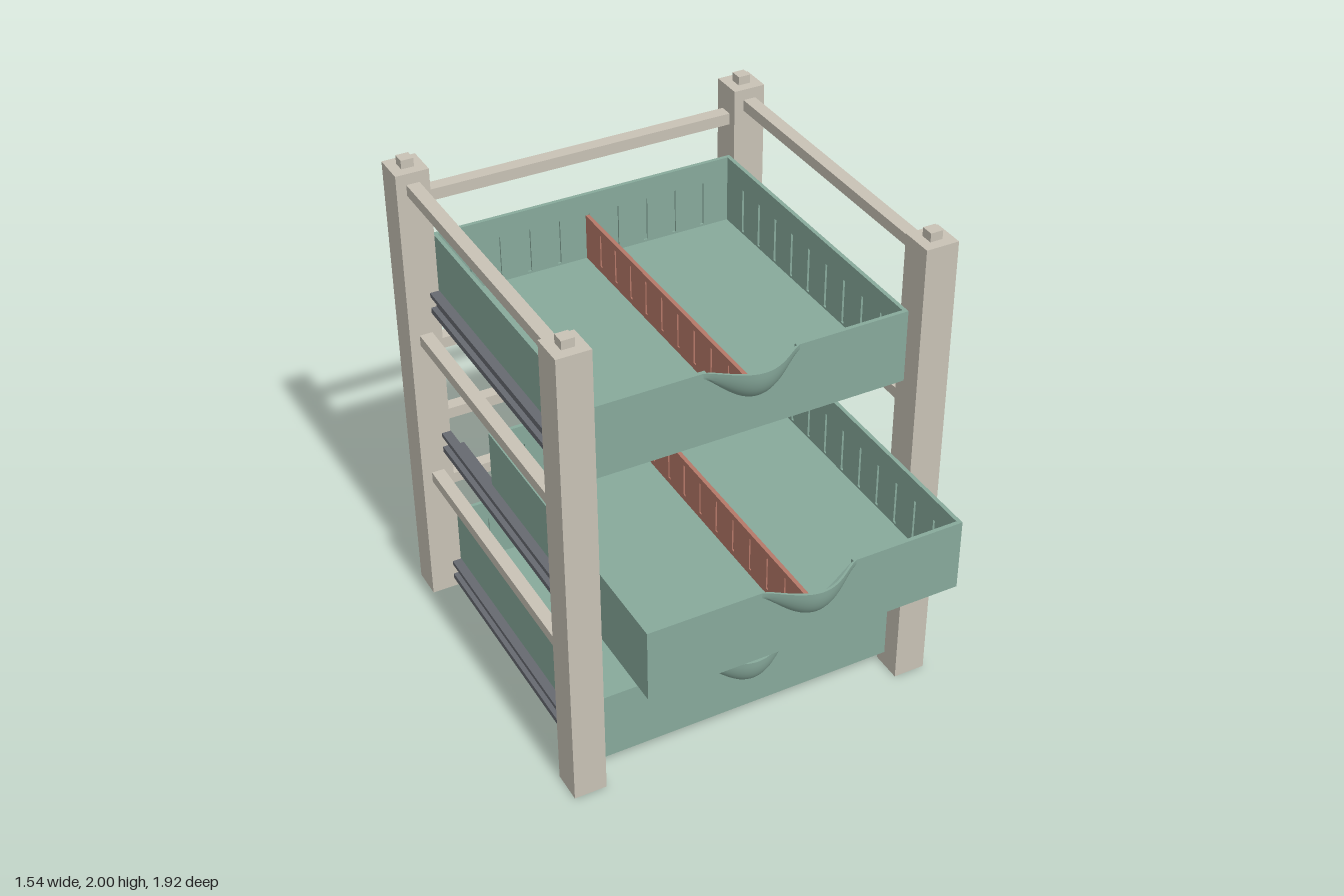
import * as THREE from 'three';
import { toCreasedNormals } from 'three/addons/utils/BufferGeometryUtils.js';

const mat = (name, color) => Object.assign(new THREE.MeshStandardMaterial({ color }), { name });

// Drawer dimensions
const W = 1.27, H = 0.297, D = 1.3, T = 0.016;
const SCOOP = 0.19;
const swell = x => Math.pow(Math.max(0, Math.cos((Math.PI / 2) * x / SCOOP)), 1.2);
const scoopDepth = x => 0.022 + 0.118 * swell(x);

function add(parent, name, geometry, material, x = 0, y = 0, z = 0) {
  const mesh = new THREE.Mesh(geometry, material);
  mesh.name = name;
  mesh.position.set(x, y, z);
  parent.add(mesh);
  return mesh;
}

const box = (parent, name, material, w, h, d, x, y, z) =>
  add(parent, name, new THREE.BoxGeometry(w, h, d), material, x, y, z);

const extrude = (shape, depth) => new THREE.ExtrudeGeometry(shape, { depth, bevelEnabled: false });

function rectPath(path, x0, y0, x1, y1) {
  path.moveTo(x0, y0);
  path.lineTo(x1, y0);
  path.lineTo(x1, y1);
  path.lineTo(x0, y1);
  path.closePath();
  return path;
}

// Upright panel outline, optionally with the scoop cut from its top edge
function panelShape(w, h, scoop) {
  const s = new THREE.Shape();
  s.moveTo(-w / 2, 0);
  s.lineTo(w / 2, 0);
  s.lineTo(w / 2, h);
  if (scoop) {
    const r = SCOOP - 0.012;
    for (let i = 0; i <= 20; i++) {
      const x = r - (2 * r * i) / 20;
      if (i === 0) s.lineTo(x, h);
      s.lineTo(x, h - scoopDepth(x) + 0.01);
      if (i === 20) s.lineTo(x, h);
    }
  }
  s.lineTo(-w / 2, h);
  s.closePath();
  return s;
}

// The same outline pierced by evenly spaced divider slots
function slottedShape(w, h, scoop, top) {
  const s = panelShape(w, h, scoop);
  const n = Math.floor((w / 2 - 0.05) / 0.126);
  for (let i = -n; i <= n; i++) {
    const x = i * 0.126;
    if (scoop && Math.abs(x) < 0.22) continue;
    s.holes.push(rectPath(new THREE.Path(), x - 0.008, 0.025, x + 0.008, top));
  }
  return s;
}

// Drawer wall: solid outer skin (+z) and slotted inner skin
function wall(parent, name, material, w, scoop, x, z, turn) {
  const g = new THREE.Group();
  g.name = name;
  add(g, name + 'Outer', extrude(panelShape(w, H, scoop), T / 2), material, 0, 0, -T / 2);
  add(g, name + 'Inner', extrude(slottedShape(w, H, scoop, 0.21), T / 2), material, 0, 0, -T);
  g.position.set(x, 0, z);
  g.rotation.y = turn;
  parent.add(g);
}

// Hollow scoop pull: inner surface, rim, then outer surface
function scoopGeometry() {
  const rows = 10;
  const geo = new THREE.PlaneGeometry(1, 1, 32, rows * 2 + 1);
  const p = geo.attributes.position;
  for (let i = 0; i < p.count; i++) {
    const row = Math.floor(i / 33);
    const inner = row <= rows;
    const a = (Math.PI / 2) * (inner ? 1 - row / rows : (row - rows - 1) / rows);
    const x = p.getX(i) * 2 * (inner ? SCOOP - 0.012 : SCOOP);
    const cut = inner ? 0.01 : 0;
    const bulge = Math.max(0, 0.095 * swell(x) - cut);
    p.setXYZ(i, x, -(scoopDepth(x) - cut) * Math.sin(a), bulge * Math.cos(a));
  }
  return toCreasedNormals(geo, 0.7);
}

function makeDrawer(green, brown) {
  const g = new THREE.Group();
  box(g, 'drawerFloor', green, W - T, T, D - T, 0, T / 2, 0);
  wall(g, 'frontWall', green, W, true, 0, D / 2, 0);
  wall(g, 'backWall', green, W, false, 0, -D / 2, Math.PI);
  for (const s of [-1, 1]) wall(g, 'sideWall', green, D - 2 * T, false, s * W / 2, 0, s * Math.PI / 2);
  add(g, 'scoopPull', scoopGeometry(), green, 0, H, D / 2);

  // Divider: thin core with slotted skins on both faces
  const len = D - 2 * T, h = 0.19;
  const divider = new THREE.Group();
  divider.name = 'divider';
  add(divider, 'dividerCore', extrude(panelShape(len, h), 0.006), brown, 0, 0, -0.003);
  for (const z of [-0.008, 0.003]) add(divider, 'dividerSkin', extrude(slottedShape(len, h, false, 0.165), 0.005), brown, 0, 0, z);
  divider.rotation.y = Math.PI / 2;
  divider.position.y = T;
  g.add(divider);
  return g;
}

// Square post with a top peg and a matching socket underneath
function makePost(wood) {
  const g = new THREE.Group();
  g.name = 'post';
  const a = 0.066, b = 0.026, socket = 0.04;
  const ring = rectPath(new THREE.Shape(), -a, -a, a, a);
  ring.holes.push(rectPath(new THREE.Path(), -b, -b, b, b));
  add(g, 'postFoot', extrude(ring, socket), wood).rotation.x = -Math.PI / 2;
  box(g, 'postShaft', wood, 2 * a, 1.965 - socket, 2 * a, 0, (1.965 + socket) / 2, 0);
  box(g, 'postPeg', wood, 0.05, 0.035, 0.05, 0, 1.9825, 0);
  return g;
}

// Channel runner with a foot reaching under the drawer; s is the side
function makeRunner(steel, s, len, stem) {
  const g = new THREE.Group();
  g.name = 'runner';
  box(g, 'runnerWeb', steel, 0.016, 0.09, len, s * 0.645, 0.045, 0);
  box(g, 'runnerTopLip', steel, 0.036, 0.018, len, s * 0.657, 0.081, 0);
  box(g, 'runnerBottomLip', steel, 0.036, 0.024, len, s * 0.657, 0.012, 0);
  box(g, 'runnerFoot', steel, 0.055, 0.016, len, s * 0.6125, 0.008, 0);
  if (stem) box(g, 'runnerStem', steel, 0.016, 0.014, len, s * 0.603, 0.023, 0);
  return g;
}

export function createModel() {
  const wood = mat('paleWood', 0xc8c2b5);
  const green = mat('sageGreen', 0x87a99b);
  const steel = mat('darkSteel', 0x666970);
  const brown = mat('redBrown', 0xb57868);
  const model = new THREE.Group();
  model.name = 'drawerRack';

  const px = 0.705, zFront = 0.457, zBack = -0.89;
  const zMid = (zFront + zBack) / 2, span = zFront - zBack - 0.13;

  // Corner posts
  for (const x of [-px, px]) {
    for (const z of [zFront, zBack]) {
      const post = makePost(wood);
      post.position.set(x, 0, z);
      model.add(post);
    }
  }

  // Three tiers; the middle drawer is pulled out
  for (let i = 0; i < 3; i++) {
    const y = i * 0.655;
    const drawer = makeDrawer(green, brown);
    drawer.name = 'drawer';
    drawer.position.set(0, y + 0.07, i === 1 ? 0.22 : -0.205);
    model.add(drawer);

    for (const s of [-1, 1]) {
      const runner = makeRunner(steel, s, span, i === 0);
      runner.position.set(0, y + 0.041, zMid);
      model.add(runner);
      box(model, 'sideRail', wood, 0.052, 0.045, span, s * px, y + 0.588, zMid);
    }
    for (const h of [0.185, 0.521]) box(model, 'backRail', wood, 2 * px - 0.13, 0.047, 0.055, 0, y + h, zBack);
  }
  return model;
}
